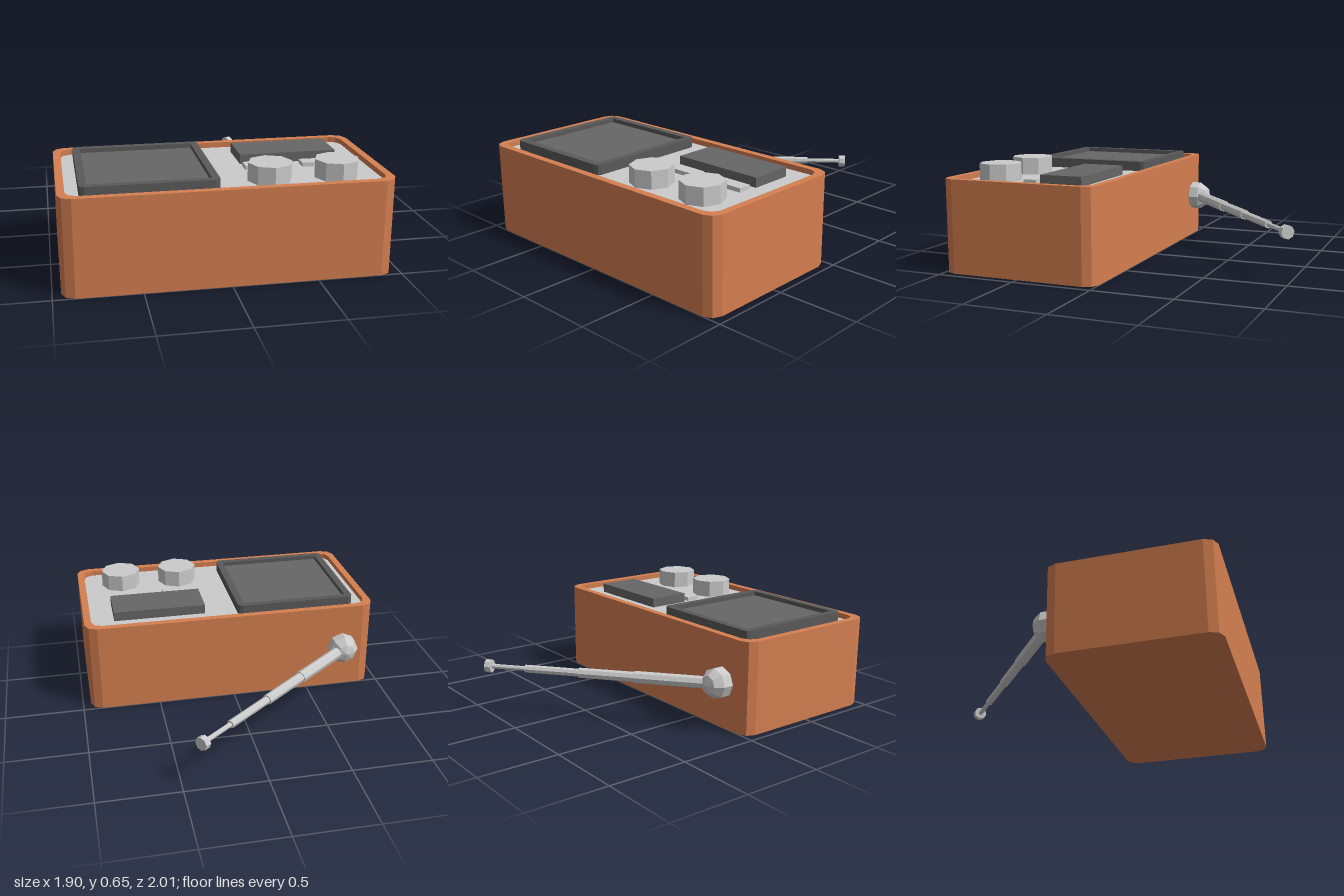
import * as THREE from 'three';

const material = (color) => new THREE.MeshStandardMaterial({ color, flatShading: true });
const grey = material(0xcccccc);
const orange = material(0xd57f50);
const dark = material(0x666666);
const darker = material(0x5a5a5a);

// Rectangle with faceted corners, traced around the origin
function roundedRect(PathType, w, d, r) {
  const path = new PathType();
  const x = w / 2, y = d / 2;
  const k = r * 0.3;
  path.setFromPoints([
    [x, -y + r], [x, y - r], [x - k, y - k], [x - r, y],
    [-x + r, y], [-x + k, y - k], [-x, y - r],
    [-x, -y + r], [-x + k, -y + k], [-x + r, -y],
    [x - r, -y], [x - k, -y + k],
  ].map(([a, b]) => new THREE.Vector2(a, b)));
  path.closePath();
  return path;
}

export function createModel() {
  const group = new THREE.Group();

  function add(name, geometry, mat, x, y, z) {
    const mesh = new THREE.Mesh(geometry, mat);
    mesh.name = name;
    mesh.position.set(x, y, z);
    group.add(mesh);
    return mesh;
  }
  // Upright slab from y0 to y1, with an optional opening
  function slab(name, shape, mat, x, z, y0, y1, hole) {
    if (hole) shape.holes.push(hole);
    const geo = new THREE.ExtrudeGeometry(shape, { depth: y1 - y0, bevelEnabled: false });
    geo.rotateX(-Math.PI / 2);
    return add(name, geo, mat, x, y0, z);
  }
  function box(name, mat, x0, x1, z0, z1, y0, y1) {
    add(name, new THREE.BoxGeometry(x1 - x0, y1 - y0, z1 - z0), mat,
      (x0 + x1) / 2, (y0 + y1) / 2, (z0 + z1) / 2);
  }

  // Case: solid base, raised rim and recessed panel
  const panelY = 0.54;
  slab('caseBase', roundedRect(THREE.Shape, 1.9, 1, 0.075), orange, 0, 0.5, 0, 0.5);
  slab('caseRim', roundedRect(THREE.Shape, 1.9, 1, 0.075), orange, 0, 0.5, 0.5, 0.573,
    roundedRect(THREE.Path, 1.81, 0.91, 0.065));
  slab('facePanel', roundedRect(THREE.Shape, 1.81, 0.91, 0.065), grey, 0, 0.5, 0.5, panelY);

  // Speaker frame with sunken grille
  slab('speakerFrame', roundedRect(THREE.Shape, 0.78, 0.805, 0.03), darker, -0.44, 0.498, panelY, 0.602,
    new THREE.Path([[-0.345, -0.358], [0.345, -0.358], [0.345, 0.358], [-0.345, 0.358]]
      .map(([a, b]) => new THREE.Vector2(a, b))));
  box('speakerGrille', dark, -0.785, -0.095, 0.14, 0.856, panelY, 0.575);

  // Display, buttons and knobs
  box('display', dark, 0.16, 0.755, 0.165, 0.435, panelY, 0.6);
  for (const x of [0.278, 0.628]) {
    box('button', grey, x - 0.113, x + 0.113, 0.472, 0.556, panelY, 0.565);
  }
  for (const x of [0.26, 0.655]) {
    add('knob', new THREE.CylinderGeometry(0.13, 0.13, 0.108, 8), grey, x, panelY + 0.054, 0.762);
  }

  // Antenna pivot on the back face
  const ball = new THREE.SphereGeometry(0.1, 8, 5).rotateX(-Math.PI / 2);
  add('antennaPivot', ball, grey, -0.735, 0.29, -0.035);

  // Telescopic antenna, laid along its own axis
  const start = new THREE.Vector3(-0.735, 0.288, -0.045);
  const axis = new THREE.Vector3(1.11, 0, -0.915).normalize();
  const turn = new THREE.Quaternion().setFromUnitVectors(new THREE.Vector3(0, 1, 0), axis);
  function rod(name, from, to, r) {
    const mesh = add(name, new THREE.CylinderGeometry(r, r, to - from, 8), grey, 0, 0, 0);
    mesh.position.copy(start).addScaledVector(axis, (from + to) / 2);
    mesh.quaternion.copy(turn);
  }
  [[0, 0.5, 0.038], [0.5, 0.85, 0.032], [0.85, 1.2, 0.025], [1.2, 1.42, 0.015]]
    .forEach(([from, to, r]) => rod('antennaSection', from, to, r));
  rod('antennaTip', 1.42, 1.46, 0.042);

  return group;
}
